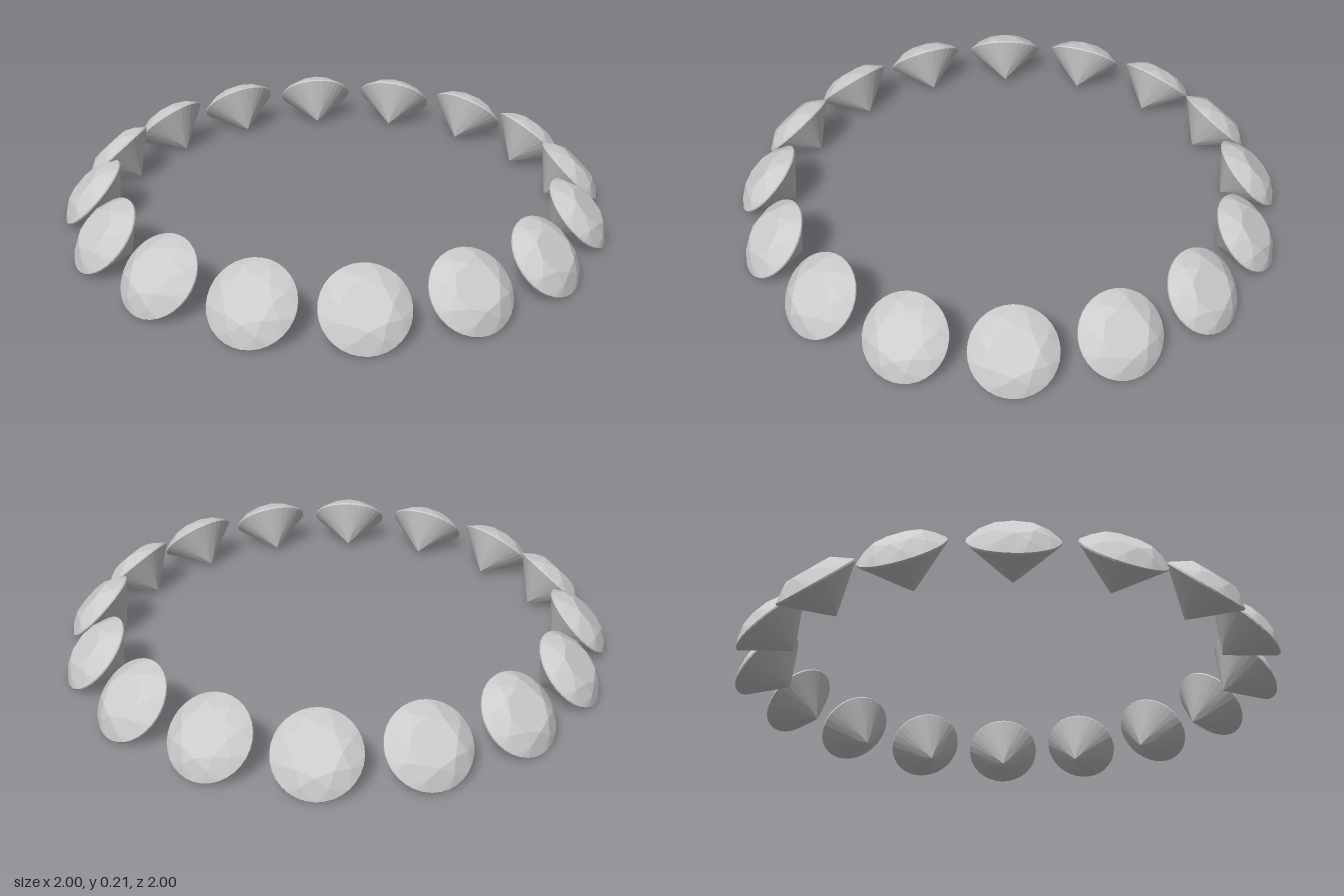
import * as THREE from 'three';
import { ConvexGeometry } from 'three/addons/geometries/ConvexGeometry.js';

const R = 0.149;        // girdle radius
const BAND = 0.006;     // girdle thickness
const CROWN = 0.045;    // crown height
const PAVILION = 0.128; // depth from girdle to culet
const TABLE = 0.082;    // table radius
const COUNT = 16;
const RING = 0.906;     // distance of each stone from the middle
const TILT = Math.PI / 4;

// Round brilliant cut, table facing +y, girdle at y = 0
function brilliantCut() {
  const points = [];
  const addRing = (n, r, y, turn = 0) => {
    for (let i = 0; i < n; i++) {
      const a = ((i + turn) / n) * Math.PI * 2;
      points.push(new THREE.Vector3(Math.sin(a) * r, y, Math.cos(a) * r));
    }
  };
  const flat = Math.cos(Math.PI / 8);
  const starR = 0.118, lowerR = 0.03;
  // table, then star points lying in the planes of the kite facets
  addRing(8, TABLE, BAND + CROWN);
  addRing(8, starR, BAND + CROWN * (R - starR * flat) / (R - TABLE), 0.5);
  // girdle band
  addRing(32, R, BAND);
  addRing(32, R, 0);
  // lower facets and culet
  addRing(8, lowerR, -PAVILION * (1 - lowerR * flat / R), 0.5);
  points.push(new THREE.Vector3(0, -PAVILION, 0));
  return new ConvexGeometry(points);
}

export function createModel() {
  const model = new THREE.Group();
  model.name = 'gemRing';
  const geometry = brilliantCut();
  const material = new THREE.MeshStandardMaterial({ color: 0xcccccc, flatShading: true });

  // Stones in a circle, each leaning outward
  for (let i = 0; i < COUNT; i++) {
    const a = ((i + 0.5) / COUNT) * Math.PI * 2;
    const gem = new THREE.Mesh(geometry, material);
    gem.name = `gem${i + 1}`;
    gem.rotation.set(TILT, a, 0, 'YXZ');
    gem.position.set(Math.sin(a) * RING, R * Math.sin(TILT), Math.cos(a) * RING);
    model.add(gem);
  }
  return model;
}
